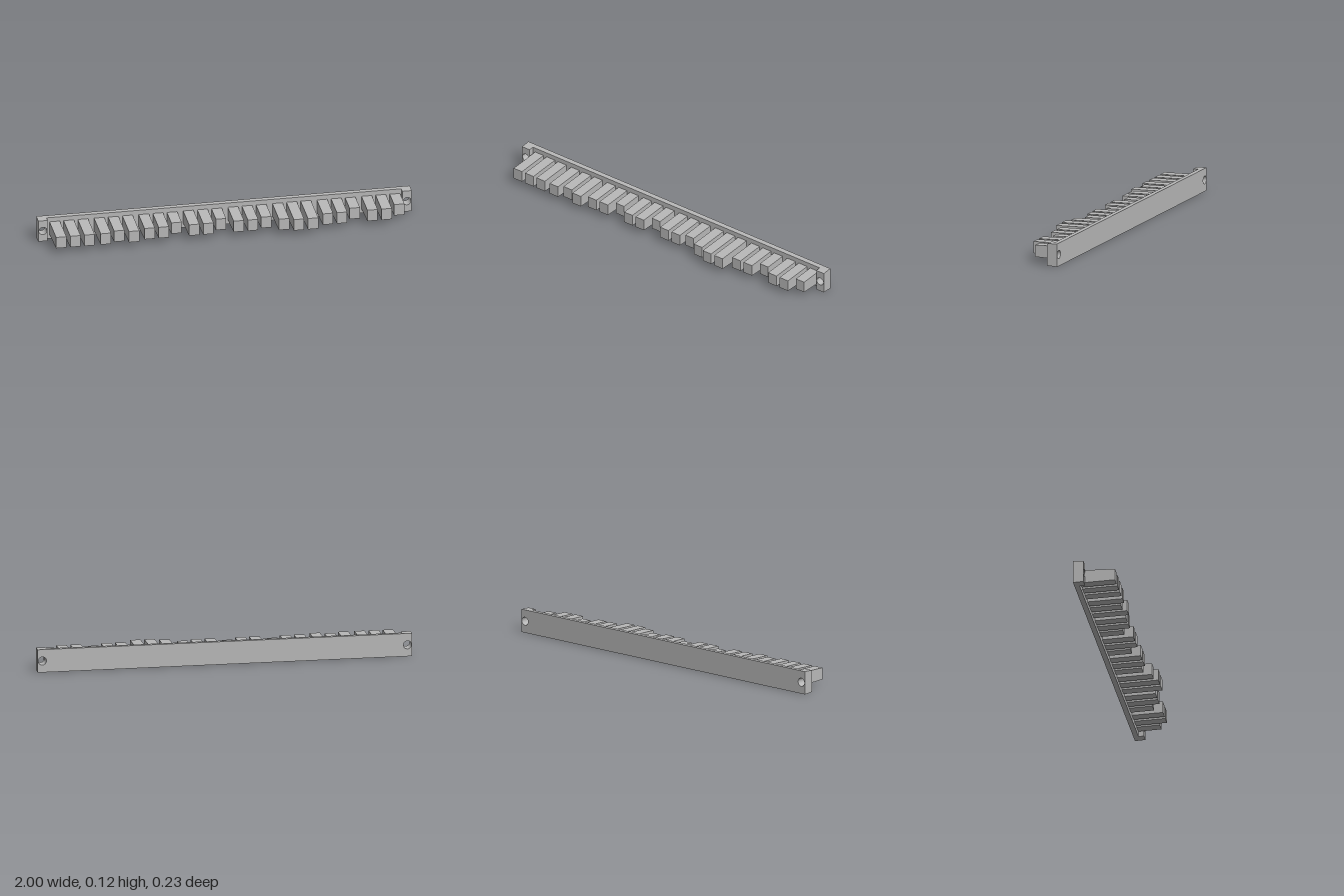
import * as THREE from 'three';

const HEIGHT = 0.124, MID = HEIGHT / 2;
const BACK = -0.117, PLATE_FRONT = -0.09, END_FRONT = -0.061;
const HOLE_X = 0.975, HOLE_R = 0.022;

// Rectangle with screw holes, extruded in z and drawn in slightly towards the front
function drilledSlab(x0, x1, z0, z1, holes) {
  const shape = new THREE.Shape([
    new THREE.Vector2(x0, 0), new THREE.Vector2(x1, 0),
    new THREE.Vector2(x1, HEIGHT), new THREE.Vector2(x0, HEIGHT),
  ]);
  for (const x of holes) {
    shape.holes.push(new THREE.Path().absarc(x, MID, HOLE_R, 0, Math.PI * 2, true));
  }
  const geo = new THREE.ExtrudeGeometry(shape, { depth: z1 - z0, bevelEnabled: false, curveSegments: 16 });
  geo.translate(0, 0, z0);
  const pos = geo.attributes.position;
  for (let i = 0; i < pos.count; i++) {
    const k = 1 - 0.75 * (pos.getZ(i) - BACK);
    pos.setY(i, MID + (pos.getY(i) - MID) * k);
  }
  geo.computeVertexNormals();
  return geo;
}

// Block with a fixed tip size whose height grows towards the plate
function toothGeometry(tip) {
  const length = tip - PLATE_FRONT;
  const tipHalf = 0.0315, baseHalf = tipHalf + length * 0.0265;
  const geo = new THREE.BoxGeometry(0.055, 2, length);
  const pos = geo.attributes.position;
  for (let i = 0; i < pos.count; i++) {
    pos.setY(i, pos.getY(i) * (pos.getZ(i) > 0 ? tipHalf : baseHalf));
  }
  geo.translate(0, MID, PLATE_FRONT + length / 2);
  geo.computeVertexNormals();
  return geo;
}

export function createModel() {
  const group = new THREE.Group();
  const grey = new THREE.MeshStandardMaterial({ color: 0xb8b8b8 });
  grey.name = 'grey';

  const add = (name, geo, x = 0) => {
    const mesh = new THREE.Mesh(geo, grey);
    mesh.name = name;
    mesh.position.x = x;
    group.add(mesh);
  };

  // Long mounting plate and the thicker screw blocks at its ends
  add('backPlate', drilledSlab(-1, 1, BACK, PLATE_FRONT, [-HOLE_X, HOLE_X]));
  add('rightEndBlock', drilledSlab(-1, -0.95, PLATE_FRONT, END_FRONT, [-HOLE_X]));
  add('leftEndBlock', drilledSlab(0.95, 1, PLATE_FRONT, END_FRONT, [HOLE_X]));

  // Eight groups of three teeth; each digit is a length step
  const steps = [3, 3, 3, 3, 2, 3, 2, 2, 0, 2, 2, 0, 2, 2, 1, 3, 4, 4, 2, 2, 0, 2, 2, 0];
  steps.forEach((step, i) => {
    const x = -0.907 + Math.floor(i / 3) * 0.2387 + (i % 3) * 0.0757;
    add(`tooth${i + 1}`, toothGeometry(0.034 + step * 0.02075), x);
  });
  return group;
}
